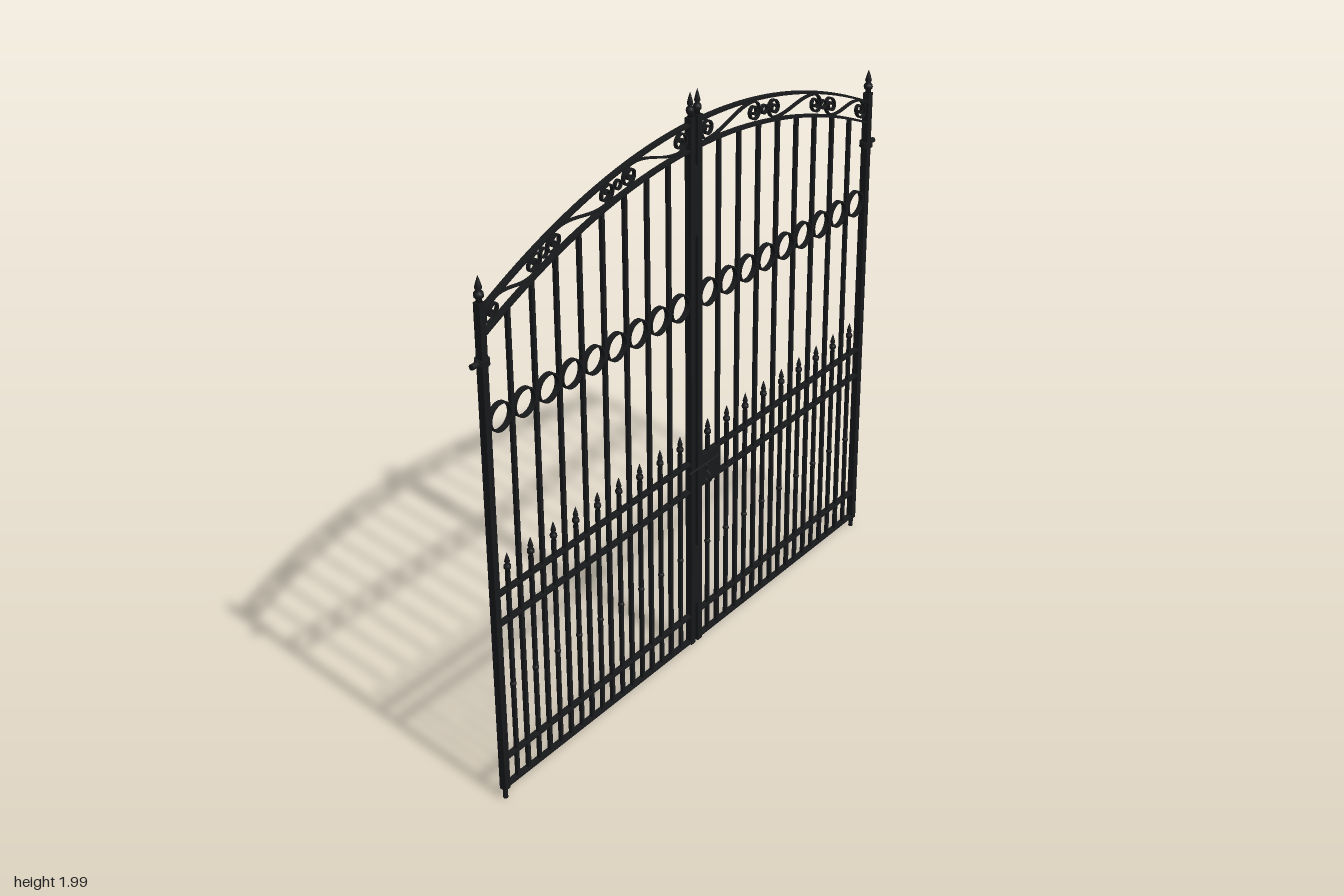
import * as THREE from 'three';

const PLANE_Z = -0.011;
const PITCH = 0.103;
const iron = new THREE.MeshStandardMaterial({ color: 0x18191b });
iron.name = 'black iron';

// Heights of the two curved top rails
const upperArc = (x) => 1.885 - (x * x) / 3.85;
const lowerArc = (x) => 1.803 - (x * x) / 4.0;
const midArc = (x) => (upperArc(x) + lowerArc(x)) / 2;

function add(parent, name, geometry, x = 0, y = 0, z = 0) {
  const mesh = new THREE.Mesh(geometry, iron);
  mesh.name = name;
  mesh.position.set(x, y, z);
  parent.add(mesh);
  return mesh;
}

const box = (w, h, d) => new THREE.BoxGeometry(w, h, d);

// Upright bar between two heights
function upright(parent, name, x, y0, y1, size) {
  return add(parent, name, box(size, y1 - y0, size), x, (y0 + y1) / 2);
}

function extrude(shape, depth, curveSegments = 16) {
  const g = new THREE.ExtrudeGeometry(shape, { depth, bevelEnabled: false, curveSegments });
  return g.translate(0, 0, -depth / 2);
}

// Flat bar following a line of points, on edge to the front
function flatBar(points, thickness, depth) {
  const left = [], right = [];
  points.forEach((p, i) => {
    const a = points[Math.max(i - 1, 0)], b = points[Math.min(i + 1, points.length - 1)];
    const n = new THREE.Vector2(a.y - b.y, b.x - a.x).normalize().multiplyScalar(thickness / 2);
    left.push(p.clone().add(n));
    right.push(p.clone().sub(n));
  });
  return extrude(new THREE.Shape([...right, ...left.reverse()]), depth);
}

function flatRing(radius, thickness, depth) {
  const shape = new THREE.Shape().absarc(0, 0, radius, 0, Math.PI * 2, false);
  shape.holes.push(new THREE.Path().absarc(0, 0, radius - thickness, 0, Math.PI * 2, true));
  return extrude(shape, depth);
}

// S-scroll: a spiral at each end joined by a gentle wave, bent along the arch
function scroll(xa, xb) {
  const pts = [], R = 0.033, turns = Math.PI * 3.4, n = 36;
  const put = (x, offset) => pts.push(new THREE.Vector2(x, midArc(x) + offset));
  const radius = (t) => 0.006 + (R - 0.006) * t;
  for (let i = 0; i <= n; i++) {
    const t = i / n, a = -Math.PI / 2 - turns * (1 - t);
    put(xa + radius(t) * Math.cos(a), radius(t) * Math.sin(a));
  }
  for (let i = 1; i < 16; i++) {
    const t = i / 16;
    put(xa + (xb - xa) * t, -R + 2 * R * t * t * (3 - 2 * t));
  }
  for (let i = 0; i <= n; i++) {
    const t = 1 - i / n, a = Math.PI / 2 - turns * (1 - t);
    put(xb + radius(t) * Math.cos(a), radius(t) * Math.sin(a));
  }
  return flatBar(pts, 0.005, 0.012);
}

// Pointed finial: collar, bulb and spear tip, one unit tall
function finial(parent, name, x, y, height, radius) {
  const profile = [
    [0, 0], [0.6, 0], [0.6, 0.12], [0.95, 0.2], [1, 0.28], [0.9, 0.36],
    [0.5, 0.44], [0.75, 0.54], [0.45, 0.75], [0, 1],
  ].map(([r, h]) => new THREE.Vector2(r * radius, h * height));
  return add(parent, name, new THREE.LatheGeometry(profile, 12), x, y);
}

// One gate leaf, spanning +x from the centre to the hinge post
function makeLeaf(name) {
  const leaf = new THREE.Group();
  leaf.name = name;

  // Posts
  upright(leaf, 'meetingPost', 0.0175, 0.035, 1.905, 0.023);
  finial(leaf, 'meetingPostFinial', 0.0175, 1.905, 0.08, 0.013);
  upright(leaf, 'hingePost', 0.956, 0.035, 1.68, 0.023);
  finial(leaf, 'hingePostFinial', 0.956, 1.68, 0.08, 0.015);
  add(leaf, 'pivotFoot', new THREE.CylinderGeometry(0.008, 0.008, 0.036, 12), 0.956, 0.018);

  // Hinge collar and pin
  add(leaf, 'hingeCollar', new THREE.CylinderGeometry(0.022, 0.022, 0.018, 20), 0.956, 1.5);
  const pin = add(leaf, 'hingePin', new THREE.CylinderGeometry(0.009, 0.009, 0.044, 12), 0.978, 1.5);
  pin.rotation.z = Math.PI / 2;

  // Straight rails
  for (const y of [0.045, 0.147, 0.63, 0.733]) {
    add(leaf, 'rail', box(0.93, 0.008, 0.021), 0.487, y);
  }

  // Arched rails
  for (const arc of [upperArc, lowerArc]) {
    const pts = [];
    for (let i = 0; i <= 28; i++) {
      const x = 0.02 + (0.936 * i) / 28;
      pts.push(new THREE.Vector2(x, arc(x)));
    }
    add(leaf, 'archedRail', flatBar(pts, 0.007, 0.021));
  }

  // Tall bars up to the lower arch
  for (let i = 0; i < 8; i++) {
    const x = 0.125 + PITCH * i;
    upright(leaf, 'tallBar', x, 0.045, lowerArc(x), 0.0125);
  }

  // Short spear bars with a knob, and the ring above each
  for (let i = 0; i < 9; i++) {
    const x = 0.073 + PITCH * i;
    upright(leaf, 'spearBar', x, 0.045, 0.79, 0.0115);
    add(leaf, 'knob', new THREE.SphereGeometry(0.0105, 12, 8), x, 0.39);
    finial(leaf, 'spearTip', x, 0.788, 0.067, 0.0115);
    add(leaf, 'ring', flatRing(0.0455, 0.005, 0.018), x, 1.303);
  }

  // Scrollwork in the arch
  for (const [a, b] of [[0.067, 0.305], [0.413, 0.642], [0.732, 0.908]]) {
    add(leaf, 'scroll', scroll(a, b));
  }
  for (const x of [0.359, 0.688]) {
    add(leaf, 'scrollRing', flatRing(0.016, 0.004, 0.012), x, midArc(x));
  }
  return leaf;
}

export function createModel() {
  const gate = new THREE.Group();
  gate.name = 'gate';
  const body = new THREE.Group();
  body.name = 'gateBody';
  body.position.z = PLANE_Z;
  gate.add(body);

  // Two matching leaves
  const rightLeaf = makeLeaf('rightLeaf');
  rightLeaf.rotation.y = Math.PI;
  body.add(makeLeaf('leftLeaf'), rightLeaf);

  // Stop plates covering the gap between the meeting posts
  add(body, 'upperStopPlate', box(0.05, 0.225, 0.025), 0, 1.635);
  add(body, 'lowerStopPlate', box(0.05, 0.22, 0.025), 0, 0.3);

  // Lock case, bolt and pull handle
  add(body, 'lockCase', box(0.105, 0.108, 0.022), 0.076, 0.682);
  const bolt = add(body, 'slidingBolt', new THREE.CylinderGeometry(0.004, 0.004, 0.155, 10), 0.029, 0.708, 0.018);
  bolt.rotation.z = Math.PI / 2;
  const pull = new THREE.CatmullRomCurve3([
    [0.706, 0.012], [0.704, 0.024], [0.69, 0.022], [0.675, 0.036],
    [0.658, 0.0405], [0.648, 0.03], [0.655, 0.018],
  ].map(([y, z]) => new THREE.Vector3(0.037, y, z)));
  add(body, 'boltHandle', new THREE.TubeGeometry(pull, 24, 0.0032, 8));

  return gate;
}
